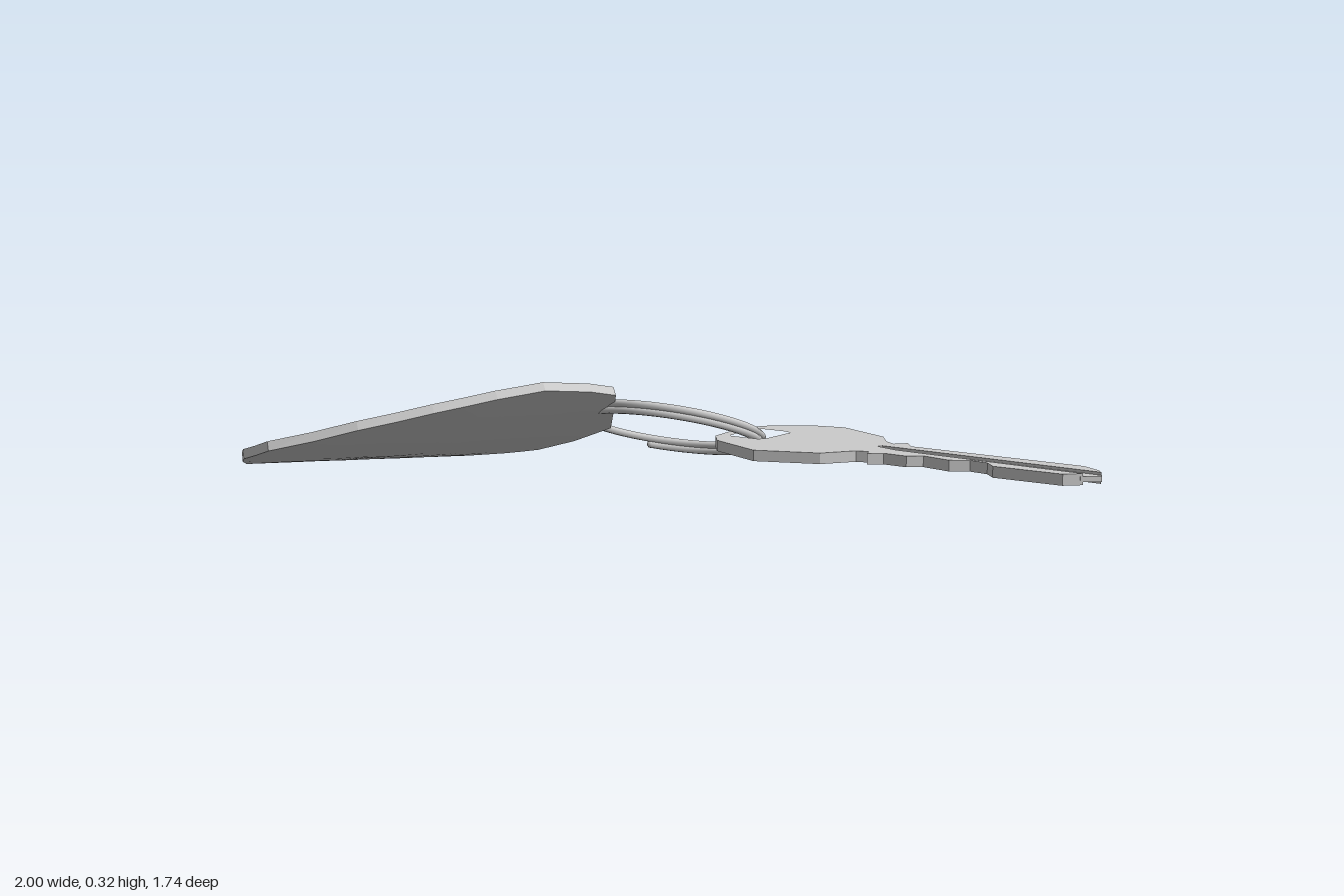
import * as THREE from 'three';
import { mergeGeometries } from 'three/addons/utils/BufferGeometryUtils.js';

const grey = () => new THREE.MeshStandardMaterial({ color: 0xcccccc });

function mesh(name, geometry) {
  const m = new THREE.Mesh(geometry, grey());
  m.name = name;
  return m;
}

// Horizontal plate from an [x, z] outline between two heights
function plate(outline, y0, y1, hole) {
  const pts = (list) => list.map(([x, z]) => new THREE.Vector2(x, -z));
  const shape = new THREE.Shape(pts(outline));
  if (hole) shape.holes.push(new THREE.Path(pts(hole)));
  const g = new THREE.ExtrudeGeometry(shape, { depth: y1 - y0, bevelEnabled: false });
  return g.rotateX(-Math.PI / 2).translate(0, y0, 0);
}

// Skin closed rows of points
function skin(rows) {
  const n = rows[0].length, index = [];
  for (let r = 0; r < rows.length - 1; r++) {
    for (let i = 0; i < n; i++) {
      const a = r * n + i, b = r * n + (i + 1) % n;
      index.push(a, b, b + n, a, b + n, a + n);
    }
  }
  const g = new THREE.BufferGeometry().setFromPoints(rows.flat());
  g.setIndex(index);
  g.computeVertexNormals();
  return g;
}

// Curved, tilted fob: the outline is laid over a bent surface
function fob() {
  const corners = [[-0.38, -0.22], [-0.16, -0.08], [-0.14, 0.02], [-0.13, 0.18], [-0.17, 0.31], [-0.24, 0.47],
    [-0.34, 0.65], [-0.5, 0.84], [-0.6, 0.865], [-0.66, 0.84], [-0.9, 0.7], [-0.965, 0.655], [-1, 0.55],
    [-0.91, 0.31], [-0.82, 0.12], [-0.7, -0.05], [-0.63, -0.13]];
  const outline = corners.flatMap(([x, z], i) => {
    const [nx, nz] = corners[(i + 1) % corners.length];
    return [[x, z], [(x + nx) / 2, (z + nz) / 2]];
  });
  const cx = -0.56, cz = 0.33, thickness = 0.027;
  const row = (scale, depth) => outline.map(([px, pz]) => {
    const x = cx + (px - cx) * scale, z = cz + (pz - cz) * scale, s = x + 1;
    const normal = new THREE.Vector3(-0.78 * s, 1, -0.07).normalize();
    return new THREE.Vector3(x, 0.39 * s * s + 0.07 * z + 0.005, z).addScaledVector(normal, -depth);
  });
  const scales = [0.001, 0.25, 0.5, 0.75, 1];
  const top = skin(scales.map((s) => row(s, 0))).toNonIndexed();
  const bottom = skin([...scales].reverse().map((s) => row(s, thickness))).toNonIndexed();
  const rim = skin([row(1, 0), row(1, thickness)]).toNonIndexed();
  rim.computeVertexNormals();
  return mesh('fob', mergeGeometries([top, rim, bottom]));
}

// Tilted split ring: a flat coil of nearly two turns
function splitRing() {
  const pts = [], steps = 110, radius = 0.265;
  for (let i = 0; i <= steps; i++) {
    const t = i / steps, a = THREE.MathUtils.degToRad(103 - 621 * t);
    const x = radius * Math.cos(a), z = radius * Math.sin(a);
    pts.push(new THREE.Vector3(-0.257 + x, 0.115 + 0.18 * x + 0.31 * z + 0.016 - 0.032 * t, -0.365 + z));
  }
  const ring = new THREE.Group();
  ring.name = 'splitRing';
  ring.add(mesh('ringWire', new THREE.TubeGeometry(new THREE.CatmullRomCurve3(pts), 160, 0.0115, 8)));
  // Blunt wire ends
  [pts[0], pts[steps]].forEach((p) => {
    const end = mesh('wireEnd', new THREE.SphereGeometry(0.0115, 8, 6));
    end.position.copy(p);
    ring.add(end);
  });
  return ring;
}

// Key with a cut blade; the slot along the blade is filled by a thinner web
function key() {
  const outline = [[-0.12, -0.61], [-0.09, -0.665], [-0.04, -0.73], [0.04, -0.78], [0.23, -0.76], [0.3, -0.71],
    [0.34, -0.7], [0.355, -0.74], [0.4, -0.71], [0.9, -0.87], [0.965, -0.855], [0.99, -0.838],
    [0.345, -0.652], [0.345, -0.635], [0.42, -0.635], [0.975, -0.785],
    [0.95, -0.735], [0.76, -0.67], [0.715, -0.695], [0.66, -0.685], [0.625, -0.64], [0.535, -0.63],
    [0.51, -0.59], [0.44, -0.57], [0.417, -0.53], [0.395, -0.555], [0.365, -0.535], [0.335, -0.43],
    [0.19, -0.31], [0, -0.33], [-0.065, -0.375], [-0.11, -0.475], [-0.13, -0.56]];
  const hole = [[-0.09, -0.56], [-0.005, -0.59], [0.02, -0.585], [0.057, -0.465], [0.05, -0.44],
    [-0.043, -0.41], [-0.065, -0.46]];
  const web = [[0.34, -0.66], [0.985, -0.845], [1, -0.83], [0.972, -0.778], [0.42, -0.628], [0.34, -0.63]];
  const group = new THREE.Group();
  group.name = 'key';
  group.add(mesh('keyBody', plate(outline, 0.087, 0.118, hole)));
  group.add(mesh('bladeGroove', plate(web, 0.095, 0.11)));
  return group;
}

export function createModel() {
  const model = new THREE.Group();
  model.name = 'keyWithFob';
  model.add(fob(), splitRing(), key());
  return model;
}
